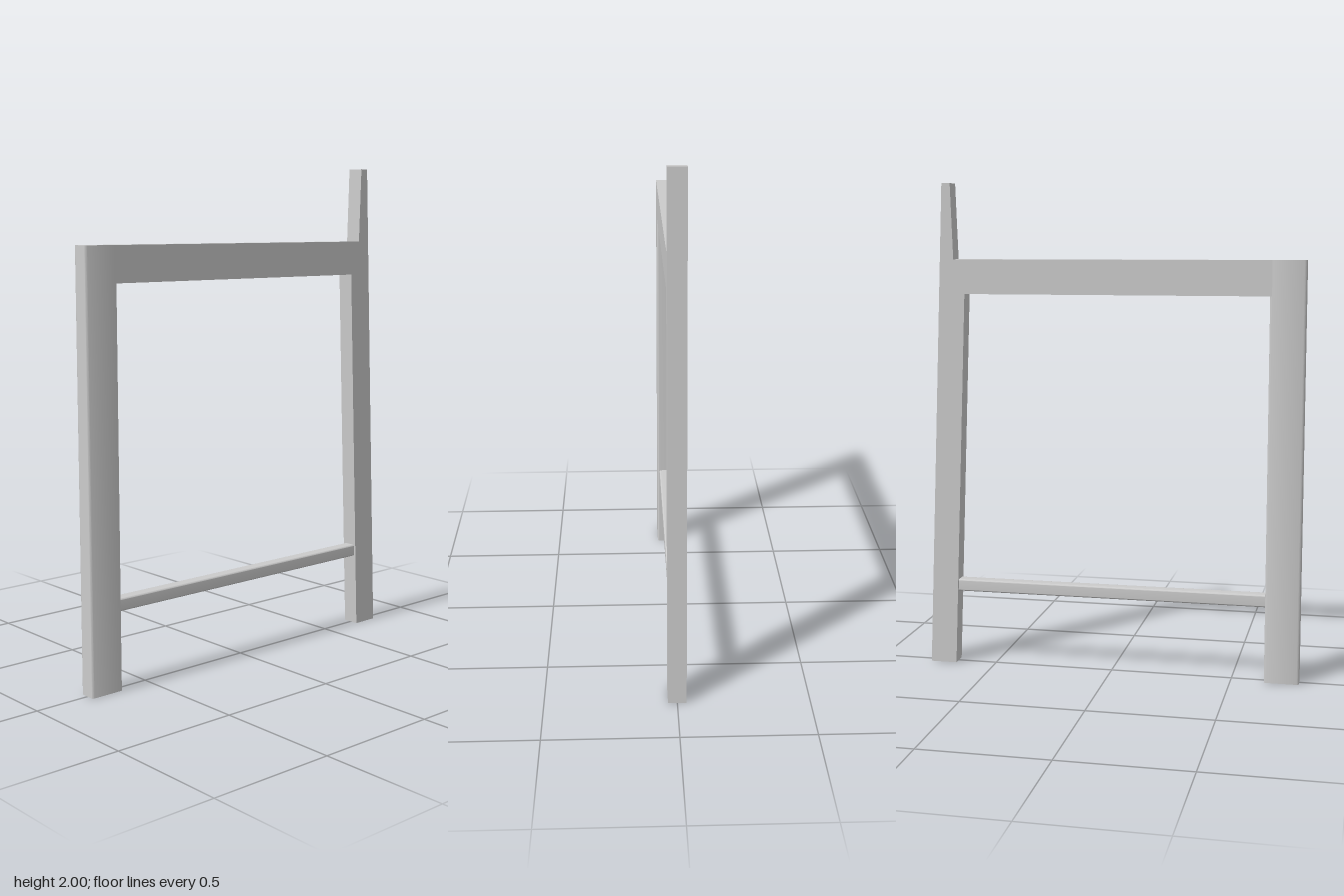
import * as THREE from 'three';
import { toCreasedNormals } from 'three/addons/utils/BufferGeometryUtils.js';

const WIDTH = 0.07;
const material = new THREE.MeshStandardMaterial({ color: 0xcccccc });

// Straight bar along +z with slightly eased long edges
function barGeometry(w, h, length, r) {
  const x = w / 2, y = h / 2;
  const s = new THREE.Shape();
  s.moveTo(-x + r, -y);
  s.lineTo(x - r, -y);
  s.absarc(x - r, -y + r, r, -Math.PI / 2, 0);
  s.absarc(x - r, y - r, r, 0, Math.PI / 2);
  s.absarc(-x + r, y - r, r, Math.PI / 2, Math.PI);
  s.absarc(-x + r, -y + r, r, Math.PI, Math.PI * 1.5);
  const g = new THREE.ExtrudeGeometry(s, { depth: length, bevelEnabled: false, curveSegments: 4 });
  return toCreasedNormals(g, 0.6);
}

function addPart(group, name, geometry) {
  const mesh = new THREE.Mesh(geometry, material);
  mesh.name = name;
  group.add(mesh);
  return mesh;
}

export function createModel() {
  const group = new THREE.Group();
  group.name = 'chairSideFrame';

  // Upright front leg
  const frontLeg = barGeometry(WIDTH, 0.14, 1.695, 0.008);
  frontLeg.rotateX(-Math.PI / 2).translate(0, 0, 0.705);
  addPart(group, 'frontLeg', frontLeg);

  // Raked, tapering back leg in one piece with the seat rail, outlined as (z, y)
  const outline = [
    [-0.775, 0], [-0.665, 0], [-0.605, 1.555], [0.643, 1.555],
    [0.643, 1.695], [-0.65, 1.695], [-0.66, 2], [-0.695, 2],
  ].map(([z, y]) => new THREE.Vector2(z, y));
  const backLeg = new THREE.ExtrudeGeometry(new THREE.Shape(outline), { depth: WIDTH, bevelEnabled: false });
  backLeg.rotateY(-Math.PI / 2).translate(WIDTH / 2, 0, 0);
  addPart(group, 'backLegAndSeatRail', backLeg);

  // Thin stretcher between the legs
  const stretcher = barGeometry(0.052, 0.05, 1.295, 0.006);
  stretcher.translate(0, 0.335, -0.657);
  addPart(group, 'stretcher', stretcher);

  return group;
}
